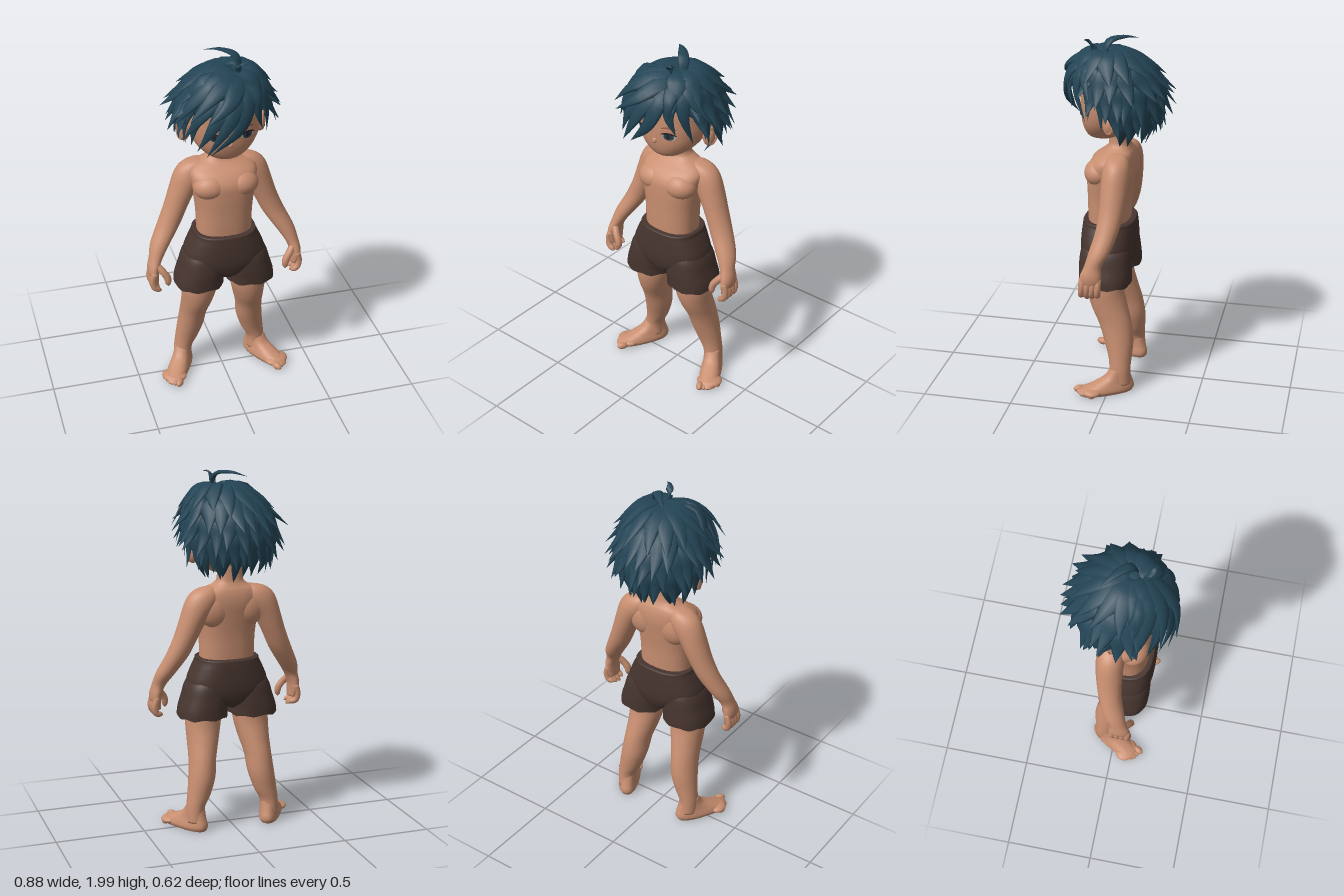
import * as THREE from 'three';

const mat = (name, color, side = THREE.FrontSide) => {
  const m = new THREE.MeshStandardMaterial({ color, side });
  m.name = name;
  return m;
};
const V = (x, y, z) => new THREE.Vector3(x, y, z);
const rad = THREE.MathUtils.degToRad, mix = THREE.MathUtils.lerp;

// Skin over closed rings of points, with optional end fans
function skinRings(rings, capStart = true, capEnd = true) {
  const n = rings[0].length, pos = rings.flat().flatMap(p => [p.x, p.y, p.z]), idx = [];
  for (let i = 0; i < rings.length - 1; i++) for (let j = 0; j < n; j++) {
    const k = (j + 1) % n, a = i * n, b = a + n;
    idx.push(a + j, b + j, b + k, a + j, b + k, a + k);
  }
  const fan = (row, flip) => {
    const c = V(0, 0, 0), at = row * n, centre = pos.length / 3;
    rings[row].forEach(p => c.addScaledVector(p, 1 / n));
    pos.push(c.x, c.y, c.z);
    for (let j = 0; j < n; j++) {
      const k = (j + 1) % n;
      idx.push(centre, at + (flip ? k : j), at + (flip ? j : k));
    }
  };
  if (capStart) fan(0, false);
  if (capEnd) fan(rings.length - 1, true);
  const g = new THREE.BufferGeometry();
  g.setAttribute('position', new THREE.Float32BufferAttribute(pos, 3));
  g.setIndex(idx);
  g.computeVertexNormals();
  return g;
}

// Smoothly subdivide a list of cross-sections
function dense(secs, steps = 5) {
  const out = [], get = i => secs[Math.min(Math.max(i, 0), secs.length - 1)];
  for (let i = 0; i < secs.length - 1; i++) for (let s = 0; s < steps; s++) {
    const t = s / steps;
    out.push(secs[i].map((_, c) => {
      const [p, a, b, q] = [-1, 0, 1, 2].map(o => get(i + o)[c]);
      return a + 0.5 * t * (b - p + t * (2 * p - 5 * a + 4 * b - q + t * (3 * (a - b) + q - p)));
    }));
  }
  return [...out, secs[secs.length - 1]];
}

// Horizontal sections [cx, y, cz, rx, rz], listed from bottom to top
const power = (v, e) => Math.sign(v) * Math.abs(v) ** (2 / e);
function loft(secs, e = 2, capStart = true, hem = 0) {
  return skinRings(dense(secs).map(([cx, y, cz, rx, rz], i) => Array.from({ length: 32 }, (_, j) => {
    const a = j / 32 * Math.PI * 2, w = i === 0 ? hem * Math.sin(a * 8) : 0;
    return V(cx + rx * power(Math.cos(a), e), y + w, cz + rz * power(Math.sin(a), e));
  })), capStart);
}

// Sweep a flattened section along a curve; its broad face points away from ref
function sweep(points, size, ref, segs = 12, sides = 8) {
  const curve = new THREE.CatmullRomCurve3(points);
  return skinRings(Array.from({ length: segs + 1 }, (_, i) => {
    const t = i / segs, p = curve.getPoint(t), T = curve.getTangent(t), [w, th] = size(t);
    const N = p.clone().sub(ref);
    N.addScaledVector(T, -N.dot(T)).normalize();
    const S = N.clone().cross(T);
    return Array.from({ length: sides }, (_, j) => {
      const a = j / sides * Math.PI * 2;
      return p.clone().addScaledVector(N, th * Math.cos(a)).addScaledVector(S, w * Math.sin(a));
    });
  }));
}
const ball = (x, y, z, rx, ry, rz) => new THREE.SphereGeometry(1, 24, 16).scale(rx, ry, rz).translate(x, y, z);

function mirrored(g) {
  const m = g.clone().scale(-1, 1, 1), a = m.index.array;
  for (let i = 0; i < a.length; i += 3) [a[i], a[i + 1]] = [a[i + 1], a[i]];
  m.computeVertexNormals();
  return m;
}

export function createModel() {
  const model = new THREE.Group();
  model.name = 'boyFigure';
  const skin = mat('skin', 0xc98f71), hair = mat('hair', 0x244556), cloth = mat('shortsCloth', 0x47352f, THREE.DoubleSide);
  const white = mat('eyeWhite', 0xb9b3ae), iris = mat('iris', 0x27485c), dark = mat('lash', 0x2a2426), lip = mat('lip', 0x9c6450);
  const add = (name, g, m) => {
    const o = new THREE.Mesh(g, m);
    o.name = name;
    model.add(o);
  };
  const pair = (name, g, m) => { add(name + 'Left', g, m); add(name + 'Right', mirrored(g), m); };

  // Torso and neck
  add('torso', loft([
    [0, .88, .04, .15, .11], [0, 1, .04, .153, .116], [0, 1.1, .038, .157, .12], [0, 1.2, .033, .17, .128],
    [0, 1.27, .026, .182, .13], [0, 1.32, .01, .185, .112], [0, 1.355, -.008, .155, .085], [0, 1.38, -.014, .1, .066],
    [0, 1.41, -.014, .072, .057], [0, 1.49, -.01, .068, .055]], 2.4), skin);
  pair('chest', ball(.084, 1.25, .08, .098, .075, .083), skin);
  pair('shoulderBlade', ball(.095, 1.245, -.045, .095, .1, .057), skin);

  // Arms and hands; the upper rings reach into the torso
  pair('arm', loft([
    [.4, .69, .064, .02, .045], [.408, .74, .063, .029, .058], [.406, .78, .06, .033, .056], [.389, .83, .05, .039, .047],
    [.357, .9, .022, .054, .057], [.3, 1, -.008, .064, .062], [.255, 1.1, -.022, .067, .068], [.213, 1.2, -.028, .077, .074],
    [.172, 1.28, -.03, .093, .076], [.15, 1.33, -.03, .087, .066], [.135, 1.36, -.028, .06, .048], [.12, 1.372, -.028, .025, .025]]), skin);
  const digit = r => t => { const k = r * Math.sqrt(Math.max(.02, 1 - Math.max(0, (t - .7) / .3) ** 2)); return [k, k]; };
  for (let i = 0; i < 4; i++) {
    const z = .02 + i * .029, low = [.66, .642, .634, .648][i];
    pair('finger', sweep([V(.408, .76, z), V(.422, .71, z), V(.412, .67, z + .004), V(.375, low, z + .006)],
      digit(.018), V(.2, .75, z)), skin);
  }
  pair('thumb', sweep([V(.395, .8, .08), V(.365, .765, .105), V(.34, .725, .115), V(.338, .675, .118)],
    digit(.02), V(.6, .7, -.2)), skin);

  // Legs and feet
  pair('leg', loft([
    [.22, .05, -.06, .052, .062], [.218, .13, -.06, .052, .059], [.197, .2, -.057, .065, .066], [.175, .3, -.044, .075, .083],
    [.164, .4, -.02, .076, .093], [.15, .5, .016, .088, .103], [.14, .6, .038, .1, .102], [.13, .74, .04, .1, .1]]), skin);
  const placeFoot = g => g.rotateY(rad(29)).translate(.22, 0, -.06);
  pair('foot', placeFoot(loft([
    [0, 0, .08, .052, .15], [0, .018, .082, .061, .162], [0, .04, .066, .058, .146], [0, .065, .038, .051, .11],
    [0, .095, .012, .047, .075], [0, .14, 0, .045, .052]], 2.4)), skin);
  pair('footBall', placeFoot(ball(.006, .024, .17, .072, .024, .06)), skin);
  for (let i = 0; i < 5; i++) {
    const r = i === 0 ? .021 : .017 - i * .001;
    pair('toe', placeFoot(ball(-.042 + i * .025, r, .224 - i * i * .0026, r * .95, r, r * 1.6)), skin);
  }

  // Shorts: hips with two open legs
  add('shortsHips', loft([
    [0, .685, .04, .015, .1], [0, .71, .04, .08, .128], [0, .77, .04, .21, .147], [0, .83, .04, .226, .152],
    [0, .9, .039, .2, .15], [0, .945, .038, .178, .146], [0, .962, .038, .174, .143], [0, .966, .038, .165, .135]], 2.6), cloth);
  pair('shortsLeg', loft([
    [.146, .635, .037, .137, .144], [.143, .68, .038, .134, .145], [.13, .74, .04, .128, .144],
    [.115, .82, .04, .117, .134], [.1, .88, .04, .08, .1]], 2.4, false, .005), cloth);

  // Head, ears and nose
  const headSecs = [[1.425, .03, .12, .05], [1.44, .08, .15, 0], [1.47, .125, .171, -.05], [1.52, .168, .186, -.1],
    [1.58, .195, .192, -.15], [1.65, .205, .195, -.18], [1.75, .2, .19, -.18], [1.85, .14, .13, -.13], [1.89, .04, .04, -.04]]
    .map(([y, rx, f, b]) => [0, y, (f + b) / 2, rx, (f - b) / 2]);
  add('head', loft(headSecs, 2.2), skin);
  add('nose', ball(0, 1.54, .183, .014, .018, .015), skin);
  pair('ear', ball(.208, 1.56, -.005, .034, .058, .035), skin);
  pair('earRim', new THREE.TorusGeometry(.036, .009, 8, 24).scale(.8, 1.25, 1).rotateY(rad(65)).translate(.226, 1.565, 0), skin);

  // Painted face details laid on the curve of the face
  const faceRows = dense(headSecs, 12);
  const faceZ = (x, y) => {
    const [, , cz, rx, rz] = faceRows.find(s => s[1] >= y);
    return cz + rz * (1 - Math.min(1, Math.abs(x / rx)) ** 2.2) ** (1 / 2.2);
  };
  const plate = (x, y, rx, ry, lift, bend = 0) => {
    const g = new THREE.RingGeometry(.001, 1, 24, 4), p = g.attributes.position;
    for (let i = 0; i < p.count; i++) {
      const u = p.getX(i), px = x + u * rx, py = y + p.getY(i) * ry - bend * u * u;
      p.setXYZ(i, px, py, faceZ(px, py) + lift);
    }
    g.computeVertexNormals();
    return g;
  };
  pair('eyeWhite', plate(.09, 1.587, .036, .02, .003), white);
  pair('iris', plate(.089, 1.588, .027, .021, .005), iris);
  pair('pupil', plate(.089, 1.588, .012, .013, .007), dark);
  pair('upperLash', plate(.09, 1.608, .042, .006, .008, .012), dark);
  pair('eyebrow', plate(.09, 1.64, .042, .005, .005, .01), lip);
  add('mouth', plate(0, 1.487, .02, .002, .003), lip);

  // Scalp of hair, low at the back and high at the forehead
  const core = V(0, 1.67, 0);
  const onHair = (th, ph, r) => {
    const c = Math.max(0, Math.cos(th)) ** 2, s = .245 * r * Math.sin(th);
    return V(s * Math.sin(ph) + .05 * c, 1.67 + .26 * r * Math.cos(th), s * Math.cos(ph) + .05 * c);
  };
  add('hairScalp', skinRings(Array.from({ length: 20 }, (_, i) => Array.from({ length: 40 }, (_, j) => {
    const ph = Math.PI / 2 - j / 40 * Math.PI * 2;
    return onHair(rad(65 + 33 * (1 - Math.cos(ph))) * (1 - i / 19.5), ph, .93);
  }))), hair);

  // Pointed locks in overlapping layers, tips flaring outwards
  let seed = 7;
  const rnd = () => (seed = (seed * 16807) % 2147483647) / 2147483647 - .5;
  const lockSize = w => t => {
    const f = t < .35 ? .65 + .35 * Math.sin(t / .35 * Math.PI / 2) : Math.max(.01, 1 - ((t - .35) / .65) ** 1.35);
    return [w * f, w * f * .36];
  };
  const lock = (name, pts, w) => add(name, sweep(pts, lockSize(w), core), hair);
  const layers = [ // count, start and end tilt, tip reach, width, first and last heading
    [12, 6, 68, 1.17, .06, 40, 320], [14, 32, 86, 1.3, .06, 60, 300], [15, 55, 104, 1.27, .054, 70, 290],
    [13, 78, 124, 1.24, .046, 98, 262], [10, 100, 142, 1.16, .036, 110, 250]];
  layers.forEach(([n, t0, t1, reach, w, from, to], layer) => {
    for (let i = 0; i < n; i++) {
      const ph = rad(mix(from, to, i / (n - 1)) + rnd() * 6), end = t1 + rnd() * 10, turn = rnd() * .25;
      const r = reach + rnd() * .08;
      lock('hairLock' + (layer + 1), [[0, .92], [.35, .99], [.7, 1.05], [1, r]].map(([k, q]) =>
        onHair(rad(mix(t0, end, k)), ph + turn * k * k, q)), w);
    }
  });

  // Fringe fanning from the crown over the scalp: bend, then tip
  const sweepFringe = (name, w, list) => list.forEach(([bx, by, bz, tx, ty, tz]) => {
    const root = V(.08, 1.89, .09), bend = V(bx, by, bz);
    const rise = root.clone().lerp(bend, .5).sub(core).setLength(.28).add(core);
    lock(name, [root, rise, bend, V(tx, ty, tz)], w);
  });
  sweepFringe('longFringe', .053, [
    [.03, 1.68, .275, -.12, 1.52, .24], [-.05, 1.69, .285, -.15, 1.53, .265], [-.11, 1.7, .265, -.19, 1.55, .225],
    [-.16, 1.75, .225, -.25, 1.6, .17], [-.2, 1.78, .15, -.29, 1.65, .11], [-.04, 1.81, .28, -.16, 1.72, .305],
    [-.12, 1.83, .23, -.23, 1.72, .235]]);
  sweepFringe('sideFringe', .044, [
    [-.19, 1.7, .2, -.21, 1.56, .17], [-.22, 1.7, .12, -.235, 1.55, .1], [-.235, 1.7, .05, -.245, 1.53, .035],
    [.13, 1.74, .23, .16, 1.63, .21], [.19, 1.73, .18, .21, 1.57, .13], [.23, 1.74, .1, .27, 1.6, .1],
    [.232, 1.7, .05, .24, 1.53, .035], [.13, 1.8, .23, .13, 1.7, .24], [.22, 1.8, .13, .295, 1.7, .09]]);

  // Stray curls at the crown
  lock('crownCurl', [V(.085, 1.9, .06), V(.065, 1.972, .03), V(0, 1.985, -.04), V(-.07, 1.965, -.1)], .03);
  lock('frontCurl', [V(.05, 1.9, .1), V(.055, 1.95, .13), V(.07, 1.975, .15), V(.095, 1.975, .16)], .02);
  return model;
}
